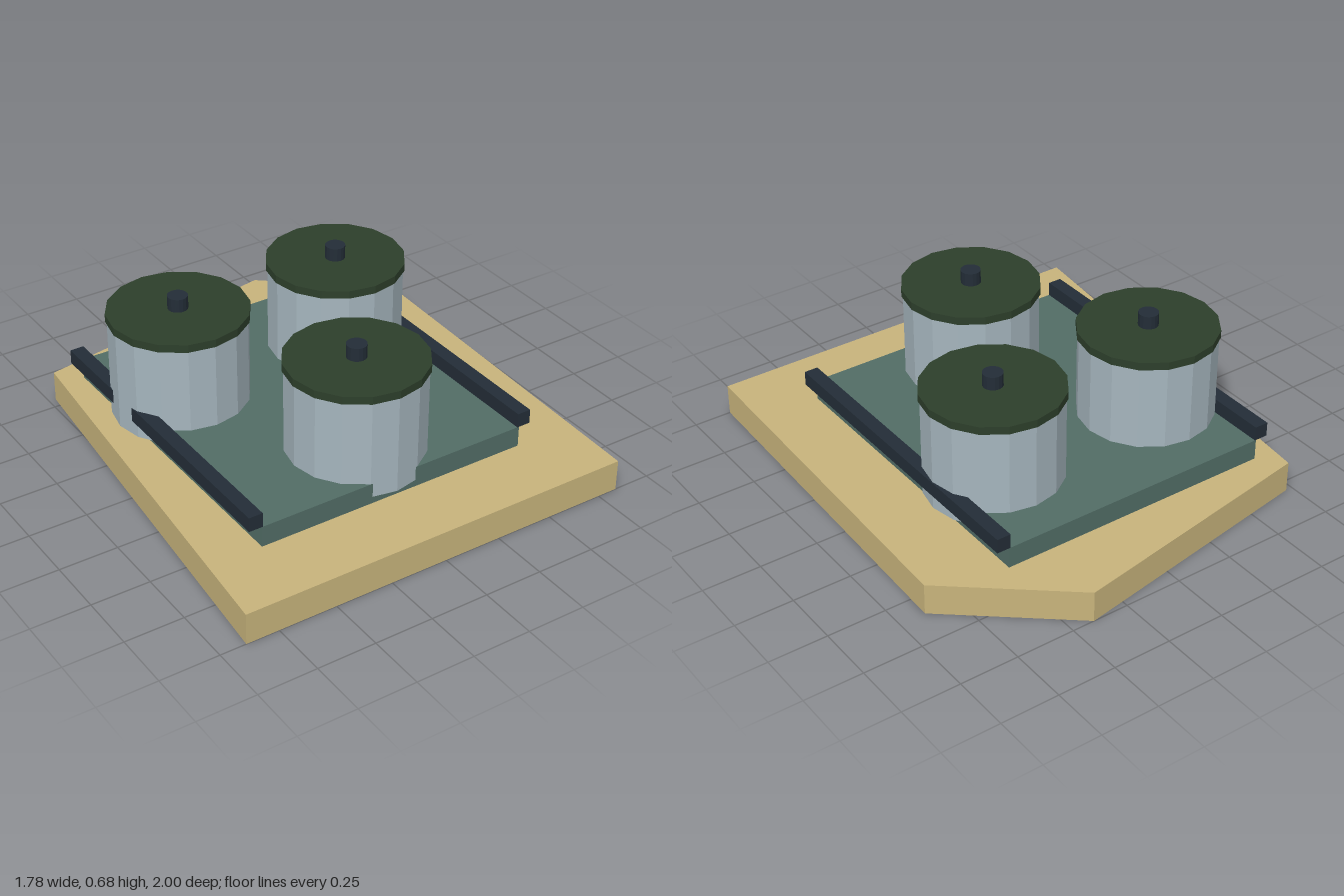
import * as THREE from 'three';

const mat = (name, color) => {
  const m = new THREE.MeshStandardMaterial({ color, flatShading: true });
  m.name = name;
  return m;
};

export function createModel() {
  const group = new THREE.Group();
  const sand = mat('sand', 0xc8b47c);
  const teal = mat('greyTeal', 0x526d66);
  const navy = mat('darkNavy', 0x232d37);
  const green = mat('darkGreen', 0x2d3f2b);
  const steel = mat('paleSteel', 0xa6b6be);

  const add = (parent, name, geometry, material, x = 0, y = 0, z = 0) => {
    const mesh = new THREE.Mesh(geometry, material);
    mesh.name = name;
    mesh.position.set(x, y, z);
    parent.add(mesh);
    return mesh;
  };
  // Box given by its lower and upper corners
  const box = (name, material, [x0, y0, z0], [x1, y1, z1]) =>
    add(group, name, new THREE.BoxGeometry(x1 - x0, y1 - y0, z1 - z0), material,
      (x0 + x1) / 2, (y0 + y1) / 2, (z0 + z1) / 2);

  // Five-sided ground slab: outline in (x, -z), extruded upwards
  const outline = [[-0.89, 1], [0.838, 1], [0.89, -0.6], [0.405, -1], [-0.72, -0.8]];
  const shape = new THREE.Shape(outline.map(([x, z]) => new THREE.Vector2(x, -z)));
  const ground = new THREE.ExtrudeGeometry(shape, { depth: 0.134, bevelEnabled: false });
  ground.rotateX(-Math.PI / 2);
  add(group, 'groundSlab', ground, sand);

  // Raised platform and the two rails along its sides
  box('platform', teal, [-0.63, 0.134, -0.697], [0.575, 0.224, 0.697]);
  box('railRight', navy, [-0.685, 0.224, -0.697], [-0.625, 0.286, 0.697]);
  box('railLeft', navy, [0.567, 0.224, -0.697], [0.627, 0.286, 0.697]);

  // Three tanks, each with a lid and a knob
  const cylinder = (r, h) => new THREE.CylinderGeometry(r, r, h, 16);
  const body = cylinder(0.285, 0.426);
  const lid = cylinder(0.291, 0.034);
  const knob = cylinder(0.042, 0.057);
  const tanks = [['tankBackRight', -0.415, -0.256], ['tankBackLeft', 0.337, -0.256], ['tankFront', -0.03, 0.432]];
  for (const [name, x, z] of tanks) {
    const tank = new THREE.Group();
    tank.name = name;
    tank.position.set(x, 0, z);
    add(tank, 'tankBody', body, steel, 0, 0.376, 0);
    add(tank, 'tankLid', lid, green, 0, 0.606, 0);
    add(tank, 'lidKnob', knob, navy, 0, 0.6515, 0);
    group.add(tank);
  }
  return group;
}
